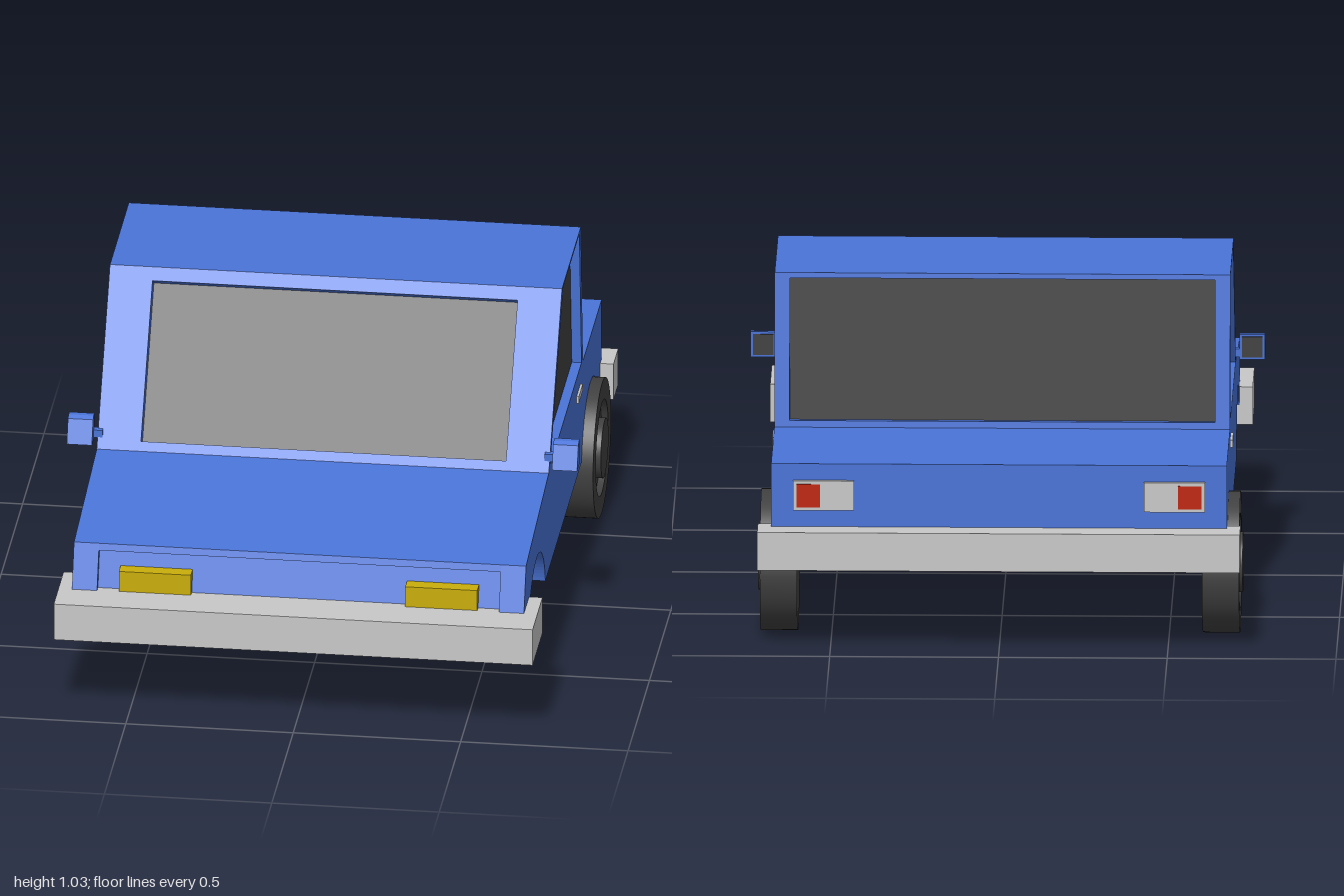
import * as THREE from 'three';

const mat = (name, color, extra = {}) => Object.assign(new THREE.MeshStandardMaterial({ color, ...extra }), { name });

export function createModel() {
  const blue = mat('body blue', 0x4a74d8);
  const dark = mat('dark glass and rubber', 0x404040);
  const grey = mat('light grey trim', 0xc8c8c8);
  const yellow = mat('headlight yellow', 0xc9ae0b);
  const red = mat('tail light red', 0xc02408);
  const car = new THREE.Group();
  car.name = 'pickupCar';

  const add = (name, geo, material, parent = car) => {
    const m = new THREE.Mesh(geo, material);
    m.name = name;
    parent.add(m);
    return m;
  };
  // Box given by its minimum and maximum on each axis
  const box = (name, [x0, x1], [y0, y1], [z0, z1], material) => {
    const g = new THREE.BoxGeometry(x1 - x0, y1 - y0, z1 - z0);
    g.translate((x0 + x1) / 2, (y0 + y1) / 2, (z0 + z1) / 2);
    return add(name, g, material);
  };
  const poly = pts => new THREE.Shape(pts.map(([a, b]) => new THREE.Vector2(a, b)));
  // Side profile (z, y) extruded across x0..x1
  const slab = (name, shape, x0, x1, material) => {
    const g = new THREE.ExtrudeGeometry(shape, { depth: x1 - x0, bevelEnabled: false, curveSegments: 20 });
    g.rotateY(-Math.PI / 2).translate(x1, 0, 0);
    return add(name, g, material);
  };

  // Lower body with wheel arches; the centre section has a recessed nose
  const bodyProfile = recessed => {
    const s = new THREE.Shape();
    const r = 0.207, cy = 0.215, a = Math.asin((0.255 - cy) / r);
    s.moveTo(-0.925, 0.255);
    for (const cz of [-0.66, 0.593]) {
      s.lineTo(cz - r * Math.cos(a), 0.255);
      s.absarc(cz, cy, r, Math.PI - a, a, true);
    }
    s.lineTo(0.935, 0.255);
    if (recessed) {
      s.lineTo(0.919, 0.3);
      s.lineTo(0.895, 0.3);
      s.lineTo(0.827, 0.49);
      s.lineTo(0.847, 0.49);
    }
    s.lineTo(0.84, 0.51);
    s.lineTo(0.31, 0.57);
    s.lineTo(-0.925, 0.57);
    s.closePath();
    return s;
  };
  slab('bodyCentre', bodyProfile(true), -0.6, 0.6, blue);
  slab('bodyLeft', bodyProfile(false), 0.6, 0.675, blue);
  slab('bodyRight', bodyProfile(false), -0.675, -0.6, blue);

  // Cabin sides: frame with a window opening and a recessed pane
  const windowPts = [[-0.455, 0.58], [0.275, 0.58], [-0.03, 1.022], [-0.405, 1.022]];
  const sideFrame = poly([[-0.49, 0.57], [0.31, 0.57], [0, 1.03], [-0.44, 1.03]]);
  sideFrame.holes.push(poly(windowPts));
  for (const s of [1, -1]) {
    const span = (a, b) => (s > 0 ? [a, b] : [-b, -a]);
    slab('cabinSideFrame', sideFrame, ...span(0.645, 0.675), blue);
    slab('sideWindow', poly(windowPts), ...span(0.635, 0.646), dark);
  }
  box('roof', [-0.675, 0.675], [1.022, 1.03], [-0.44, 0], blue);

  // Sloping window panels, front and rear
  const slopedWindow = (name, z0, z1, dir, half, holeHalf, s0, s1, depth) => {
    const len = Math.hypot(z1 - z0, 0.46);
    const g = new THREE.Group();
    g.name = name;
    const X = new THREE.Vector3(dir, 0, 0), Y = new THREE.Vector3(0, 0.46 / len, (z1 - z0) / len);
    g.applyMatrix4(new THREE.Matrix4().makeBasis(X, Y, X.clone().cross(Y)).setPosition(0, 0.57, z0));
    const rect = (h, a, b) => poly([[-h, a], [h, a], [h, b], [-h, b]]);
    const frame = rect(half, 0, len);
    frame.holes.push(rect(holeHalf, s0, s1));
    const fg = new THREE.ExtrudeGeometry(frame, { depth, bevelEnabled: false }).translate(0, 0, -depth);
    add(name + 'Frame', fg, blue, g);
    const pane = new THREE.BoxGeometry(holeHalf * 2, s1 - s0, 0.008);
    add(name + 'Glass', pane.translate(0, (s0 + s1) / 2, -depth), dark, g);
    car.add(g);
  };
  slopedWindow('windshield', 0.31, 0, 1, 0.65, 0.545, 0.03, 0.513, 0.044);
  slopedWindow('rearWindow', -0.49, -0.44, -1, 0.65, 0.63, 0.02, 0.447, 0.03);

  // Bumpers
  box('frontBumper', [-0.715, 0.715], [0.262, 0.378], [0.77, 1], grey);
  box('rearBumper', [-0.715, 0.715], [0.262, 0.378], [-1, -0.89], grey);

  // Wheel turned around its axle: tyre, groove and hub
  const wheelProfile = [[0, 0], [0.21, 0], [0.21, 0.11], [0.145, 0.11], [0.145, 0.09], [0.09, 0.09], [0.09, 0.118], [0, 0.118]];
  const wheel = () => {
    const g = new THREE.Group();
    for (let i = 0; i < wheelProfile.length - 1; i++) {
      const seg = [wheelProfile[i], wheelProfile[i + 1]].map(p => new THREE.Vector2(...p));
      add('wheelSurface', new THREE.LatheGeometry(seg, 48), dark, g);
    }
    return g;
  };

  // Details found on both sides
  for (const s of [1, -1]) {
    const span = (a, b) => (s > 0 ? [a, b] : [-b, -a]);
    const w = wheel();
    w.name = s > 0 ? 'rearWheelLeft' : 'rearWheelRight';
    w.position.set(s * 0.6, 0.21, -0.66);
    w.rotation.z = -s * Math.PI / 2;
    car.add(w);

    box('headlight', span(0.32, 0.535), [0.36, 0.443], [0.82, 0.886], yellow);
    box('tailLight', span(0.43, 0.61), [0.43, 0.52], [-0.936, -0.92], grey);
    box('tailLightLens', span(0.53, 0.6), [0.44, 0.51], [-0.939, -0.93], red);
    box('doorHandle', span(0.67, 0.682), [0.5, 0.522], [-0.43, -0.34], grey);

    box('mirrorArm', span(0.66, 0.69), [0.598, 0.622], [0.268, 0.29], blue);
    slab('mirrorHousing', poly([[0.268, 0.59], [0.33, 0.59], [0.3, 0.66], [0.285, 0.667], [0.268, 0.667]]), ...span(0.687, 0.762), blue);
    box('mirrorGlass', span(0.694, 0.755), [0.597, 0.66], [0.265, 0.27], dark);
  }
  return car;
}
